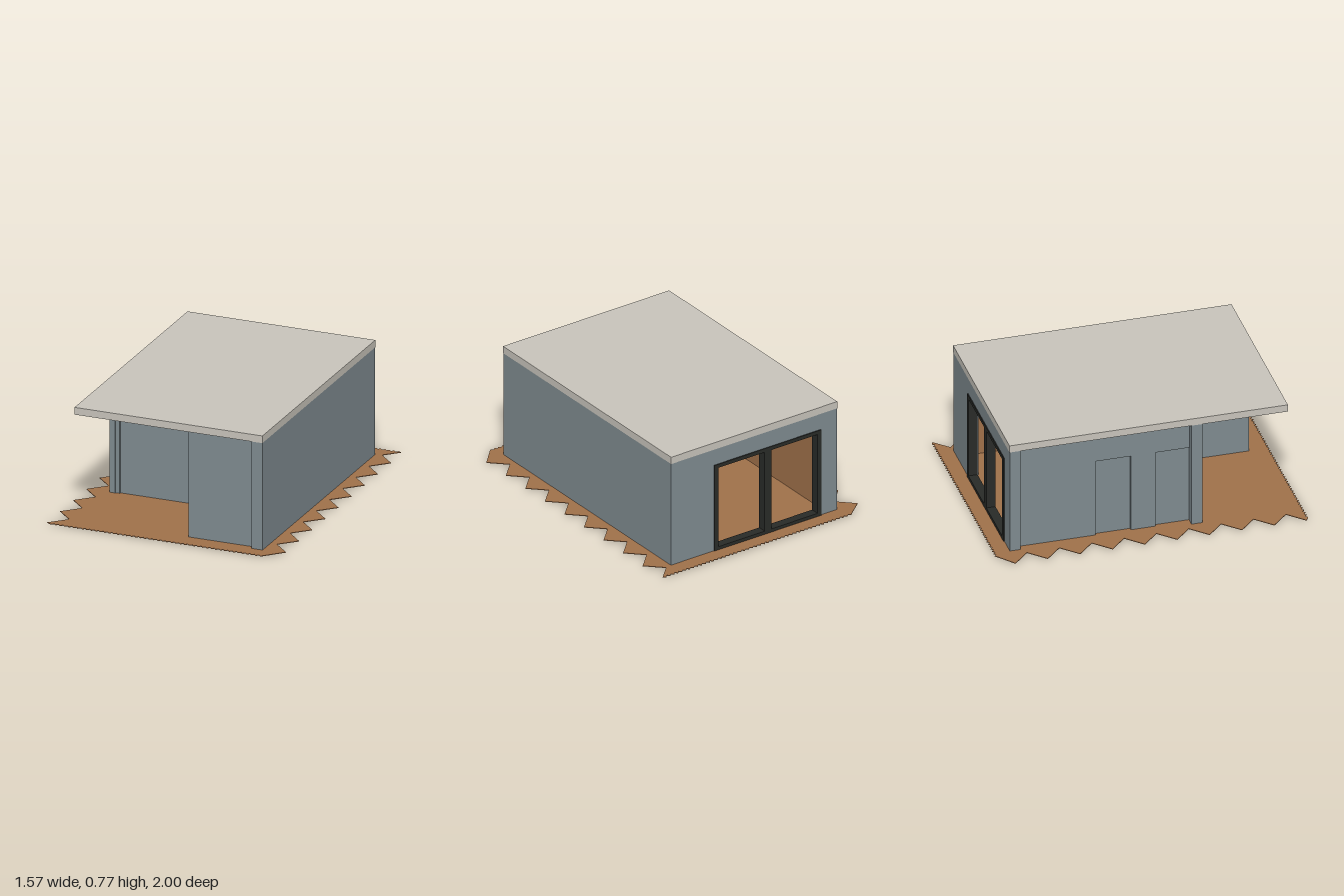
import * as THREE from 'three';

const mat = (name, color) => {
  const m = new THREE.MeshStandardMaterial({ color });
  m.name = name;
  return m;
};

export function createModel() {
  const model = new THREE.Group();
  model.name = 'gardenHouse';
  const wall = mat('grey wall', 0x7f8b90);
  const roofMat = mat('pale roof', 0xc8c4bb);
  const wood = mat('oak wood', 0xa0714a);
  const dark = mat('dark frame', 0x292b28);
  const base = mat('black base', 0x22211a);

  // box given by its limits on each axis
  const box = (name, m, [x0, x1], [y0, y1], [z0, z1]) => {
    const mesh = new THREE.Mesh(new THREE.BoxGeometry(x1 - x0, y1 - y0, z1 - z0), m);
    mesh.position.set((x0 + x1) / 2, (y0 + y1) / 2, (z0 + z1) / 2);
    mesh.name = name;
    model.add(mesh);
    return mesh;
  };

  const X = 0.633, IN = 0.56, BACK = -0.893, FRONT = 0.9, TOP = 0.72;
  const H = [0.004, TOP];

  // base slab and flat roof
  box('baseSlab', base, [-X, X], [0, 0.004], [BACK, FRONT]);
  box('roof', roofMat, [-X, X], [TOP, 0.768], [-0.895, 0.903]);

  // herringbone floor with toothed edges: large teeth at the sides, fine teeth at the ends
  const pts = [];
  const pitch = 0.209, fine = 0.03;
  for (let x = -0.68; x < 0.75; x += fine) pts.push([x, -0.985], [x + fine / 2, -1]);
  pts.push([0.765, -0.99], [0.675, -0.9]);
  for (let i = 0; i < 9; i++) {
    pts.push([0.78, -0.797 + i * pitch]);
    if (i < 8) pts.push([0.675, -0.692 + i * pitch]);
  }
  for (let x = 0.675; x > -0.76; x -= fine) pts.push([x, 0.985], [x - fine / 2, 1]);
  for (let i = 9; i >= 0; i--) {
    pts.push([-0.785, -0.9 + i * pitch]);
    if (i > 0) pts.push([-0.68, -1.005 + i * pitch]);
  }
  const floorShape = new THREE.Shape(pts.map(([x, z]) => new THREE.Vector2(x, z)));
  const floorGeo = new THREE.ExtrudeGeometry(floorShape, { depth: 0.004, bevelEnabled: false });
  floorGeo.rotateX(Math.PI / 2);
  const floor = new THREE.Mesh(floorGeo, wood);
  floor.position.y = 0.008;
  floor.name = 'herringboneFloor';
  model.add(floor);

  // long left wall
  box('longWall', wall, [IN, X], H, [BACK, FRONT]);

  // back wall with the wide door opening
  const D = { x0: -0.51, x1: 0.305, top: 0.61 };
  box('backWallRight', wall, [-X, D.x0], H, [BACK, -0.825]);
  box('backWallLeft', wall, [D.x1, IN], H, [BACK, -0.825]);
  box('backWallLintel', wall, [D.x0, D.x1], [D.top, TOP], [BACK, -0.825]);

  // dark door frame, two open bays
  const fz = [-0.899, -0.84], mid = (D.x0 + D.x1) / 2;
  box('doorJamb', dark, [D.x0, D.x0 + 0.03], [0.008, D.top], fz);
  box('doorJamb', dark, [D.x1 - 0.03, D.x1], [0.008, D.top], fz);
  box('doorMullion', dark, [mid - 0.025, mid + 0.025], [0.008, D.top], fz);
  box('doorHead', dark, [D.x0 + 0.03, D.x1 - 0.03], [D.top - 0.025, D.top], fz);
  box('doorSill', dark, [D.x0 + 0.03, D.x1 - 0.03], [0.008, 0.03], fz);

  // set-back right wall with two recessed side doors
  const outer = -0.594, inner = -0.565, doorTop = 0.54;
  const doors = [[-0.33, -0.1], [0.06, 0.28]];
  let z = -0.825;
  for (const [a, b] of doors) {
    box('sideWall', wall, [outer, inner], H, [z, a]);
    box('sideDoorHead', wall, [outer, inner], [doorTop, TOP], [a, b]);
    box('sideDoor', wall, [outer + 0.018, inner], [0.004, doorTop], [a, b]);
    z = b;
  }
  box('sideWall', wall, [outer, inner], H, [z, 0.345]);
  box('cornerPost', wall, [-X, outer], H, [0.28, 0.35]);

  // recessed porch wall and the front room beside it
  box('porchWall', wall, [inner, 0.19], H, [0.27, 0.335]);
  box('frontRoomSide', wall, [0.12, 0.19], H, [0.335, 0.87]);
  box('frontRoomWall', wall, [0.19, IN], H, [0.8, 0.87]);

  // wooden lining of the interior
  const L = 0.006, lh = [0.008, TOP - 0.008];
  box('liningLeft', wood, [IN - L, IN], lh, [-0.825, 0.8]);
  box('liningRight', wood, [inner, inner + L], lh, [-0.825, 0.27]);
  box('liningPorch', wood, [inner + L, 0.19], lh, [0.27 - L, 0.27]);
  box('liningRoomSide', wood, [0.19, 0.19 + L], lh, [0.27 - L, 0.8]);
  box('liningFront', wood, [0.19 + L, IN - L], lh, [0.8 - L, 0.8]);
  box('ceilingMain', wood, [inner, IN], [TOP - 0.008, TOP - 0.001], [-0.825, 0.27]);
  box('ceilingFront', wood, [0.19, IN], [TOP - 0.008, TOP - 0.001], [0.27, 0.8]);

  return model;
}
